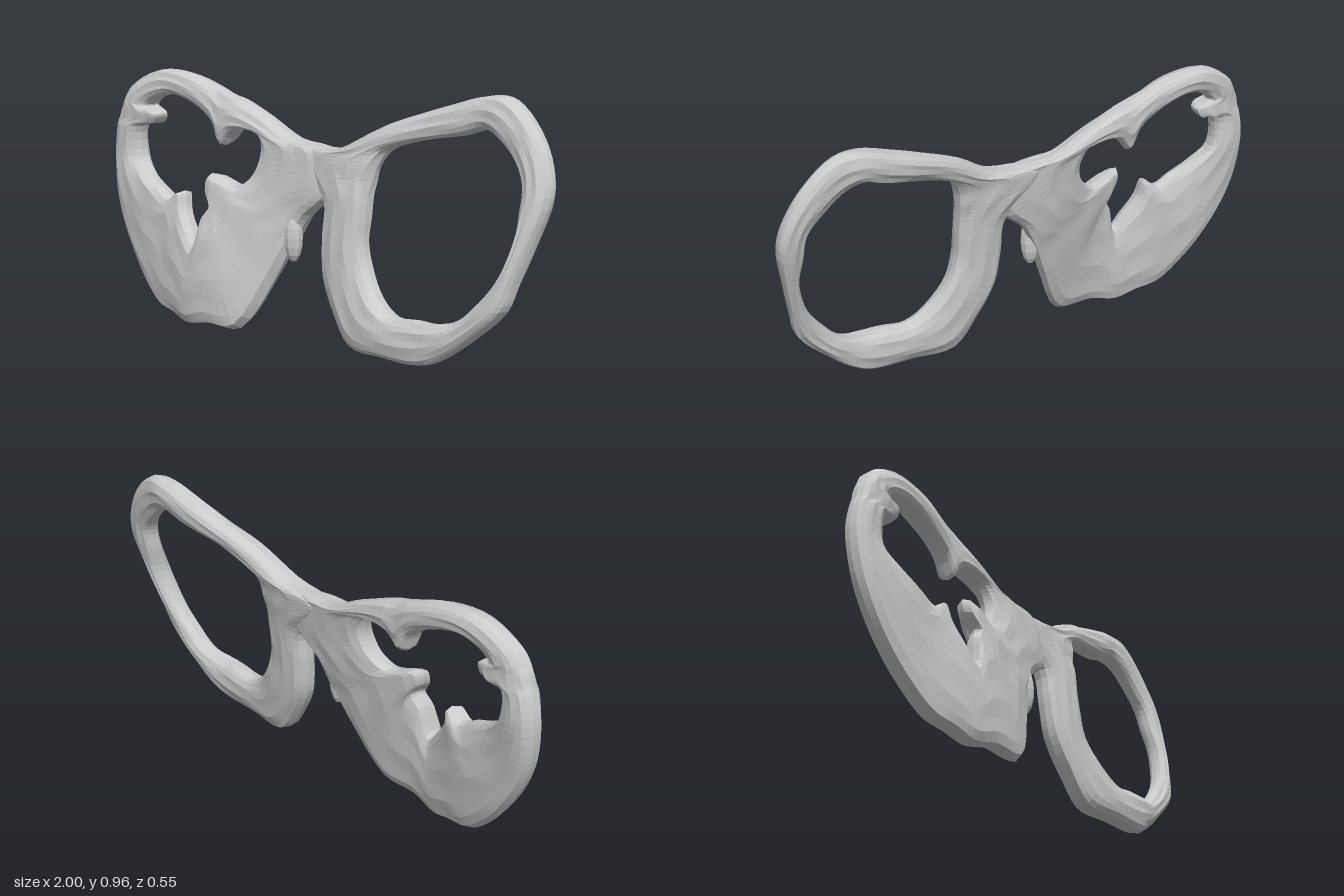
import * as THREE from 'three';

const material = new THREE.MeshStandardMaterial({ color: 0xcccccc, flatShading: true, side: THREE.DoubleSide });

const closedCurve = pts => new THREE.CatmullRomCurve3(pts.map(p => new THREE.Vector3(...p)), true, 'centripetal');

// Lofts a rounded cross-section between an outer and an inner outline (both counter-clockwise from the front)
function rim(name, outerPts, innerPts, halfDepth) {
  const outer = closedCurve(outerPts), inner = closedCurve(innerPts);
  const steps = outerPts.length * 4, sides = 18;
  const positions = [], index = [];
  const o = new THREE.Vector3(), n = new THREE.Vector3(), p = new THREE.Vector3();
  for (let i = 0; i < steps; i++) {
    outer.getPoint(i / steps, o);
    inner.getPoint(i / steps, n);
    const wide = Math.min(1, o.distanceTo(n) / 0.35);
    // the outer strand of the open rim is slimmer
    const depth = halfDepth - 0.012 * THREE.MathUtils.smoothstep(o.x, 0.5, 0.95);
    for (let j = 0; j < sides; j++) {
      const a = (j / sides) * Math.PI * 2, s = Math.sin(a);
      p.lerpVectors(o, n, (1 - Math.cos(a)) / 2);
      // wide areas are flatter slabs, narrow ones are nearly elliptical; slightly rough surface
      const lift = Math.sign(s) * Math.pow(Math.abs(s), 0.75 - 0.3 * wide) * depth;
      const rough = 0.002 * Math.sin(i * 12.9 + j * 78.2);
      positions.push(p.x, p.y + rough, p.z + lift + rough);
      const i2 = ((i + 1) % steps) * sides, j2 = (j + 1) % sides, i1 = i * sides;
      index.push(i1 + j, i2 + j, i1 + j2, i2 + j, i2 + j2, i1 + j2);
    }
  }
  const geometry = new THREE.BufferGeometry();
  geometry.setAttribute('position', new THREE.Float32BufferAttribute(positions, 3));
  geometry.setIndex(index);
  geometry.computeVertexNormals();
  const mesh = new THREE.Mesh(geometry, material);
  mesh.name = name;
  return mesh;
}

export function createModel() {
  const group = new THREE.Group();
  group.name = 'eyeglasses';

  // Right lens: partly filled, with a ragged opening, reaching over the bridge
  const rightOuter = [
    [0.1, 0.70, -0.015], [-0.1, 0.725, 0.005], [-0.25, 0.795, 0.03], [-0.38, 0.845, 0.055], [-0.44, 0.86, 0.07],
    [-0.5, 0.88, 0.08], [-0.62, 0.915, 0.11], [-0.8, 0.92, 0.145], [-0.92, 0.85, 0.185], [-0.95, 0.8, 0.2],
    [-0.965, 0.77, 0.205], [-0.975, 0.73, 0.21], [-0.985, 0.70, 0.21], [-1, 0.6, 0.215], [-0.98, 0.45, 0.225],
    [-0.93, 0.33, 0.23], [-0.85, 0.21, 0.23], [-0.77, 0.12, 0.23], [-0.66, 0.04, 0.23], [-0.56, 0.025, 0.23],
    [-0.47, 0.005, 0.23], [-0.36, 0.025, 0.22], [-0.21, 0.035, 0.185], [-0.1, 0.235, 0.105], [-0.06, 0.33, 0.075],
    [-0.03, 0.4, 0.05], [0.01, 0.47, 0.03], [0.11, 0.56, 0],
  ];
  const rightInner = [
    [-0.24, 0.69, 0.05], [-0.27, 0.735, 0.05], [-0.36, 0.74, 0.07], [-0.41, 0.71, 0.08], [-0.445, 0.67, 0.09],
    [-0.48, 0.74, 0.09], [-0.57, 0.80, 0.105], [-0.70, 0.835, 0.135], [-0.80, 0.81, 0.165], [-0.83, 0.78, 0.175],
    [-0.77, 0.755, 0.17], [-0.79, 0.72, 0.17], [-0.86, 0.70, 0.2], [-0.86, 0.58, 0.2], [-0.78, 0.52, 0.21],
    [-0.70, 0.485, 0.21], [-0.63, 0.455, 0.2], [-0.575, 0.49, 0.19], [-0.555, 0.43, 0.2], [-0.5, 0.36, 0.21],
    [-0.45, 0.31, 0.21], [-0.42, 0.42, 0.19], [-0.395, 0.47, 0.17], [-0.44, 0.52, 0.165], [-0.44, 0.57, 0.155],
    [-0.32, 0.54, 0.115], [-0.26, 0.58, 0.08], [-0.235, 0.64, 0.06],
  ];
  group.add(rim('rightLens', rightOuter, rightInner, 0.052));

  // Left rim: open frame overlapping the bridge, listed clockwise and reversed
  const leftOuter = [
    [-0.06, 0.70, 0.005], [0.13, 0.725, -0.025], [0.3, 0.82, -0.09], [0.45, 0.88, -0.15], [0.57, 0.92, -0.185],
    [0.7, 0.96, -0.22], [0.79, 0.955, -0.232], [0.9, 0.87, -0.237], [0.97, 0.76, -0.232], [0.995, 0.66, -0.215],
    [0.965, 0.5, -0.165], [0.935, 0.37, -0.125], [0.91, 0.28, -0.1], [0.8, 0.17, -0.07], [0.7, 0.09, -0.04],
    [0.62, 0.05, -0.01], [0.45, 0.045, 0.02], [0.28, 0.05, 0.035], [0.19, 0.15, 0.035], [0.12, 0.27, 0.03],
    [0.1, 0.4, 0.02], [0.09, 0.53, 0.005], [0.0, 0.62, 0.005],
  ];
  const leftInner = [
    [0.30, 0.68, -0.045], [0.33, 0.74, -0.075], [0.42, 0.775, -0.11], [0.53, 0.80, -0.15], [0.62, 0.82, -0.18],
    [0.7, 0.845, -0.21], [0.77, 0.82, -0.21], [0.84, 0.76, -0.215], [0.89, 0.69, -0.205], [0.90, 0.6, -0.185],
    [0.91, 0.5, -0.155], [0.87, 0.37, -0.115], [0.8, 0.28, -0.085], [0.73, 0.22, -0.06], [0.64, 0.195, -0.02],
    [0.56, 0.195, -0.01], [0.46, 0.19, 0.005], [0.38, 0.24, 0.01], [0.31, 0.33, 0], [0.285, 0.42, 0],
    [0.285, 0.5, -0.01], [0.285, 0.58, -0.02], [0.29, 0.63, -0.035],
  ];
  group.add(rim('leftRim', leftOuter.reverse(), leftInner.reverse(), 0.054));

  // Nose pad: small sliver hanging under the bridge, joined to the lens edge
  const pad = new THREE.Mesh(new THREE.SphereGeometry(1, 10, 8), material);
  pad.name = 'nosePad';
  pad.scale.set(0.035, 0.09, 0.035);
  pad.position.set(-0.045, 0.385, 0.065);
  group.add(pad);

  return group;
}
